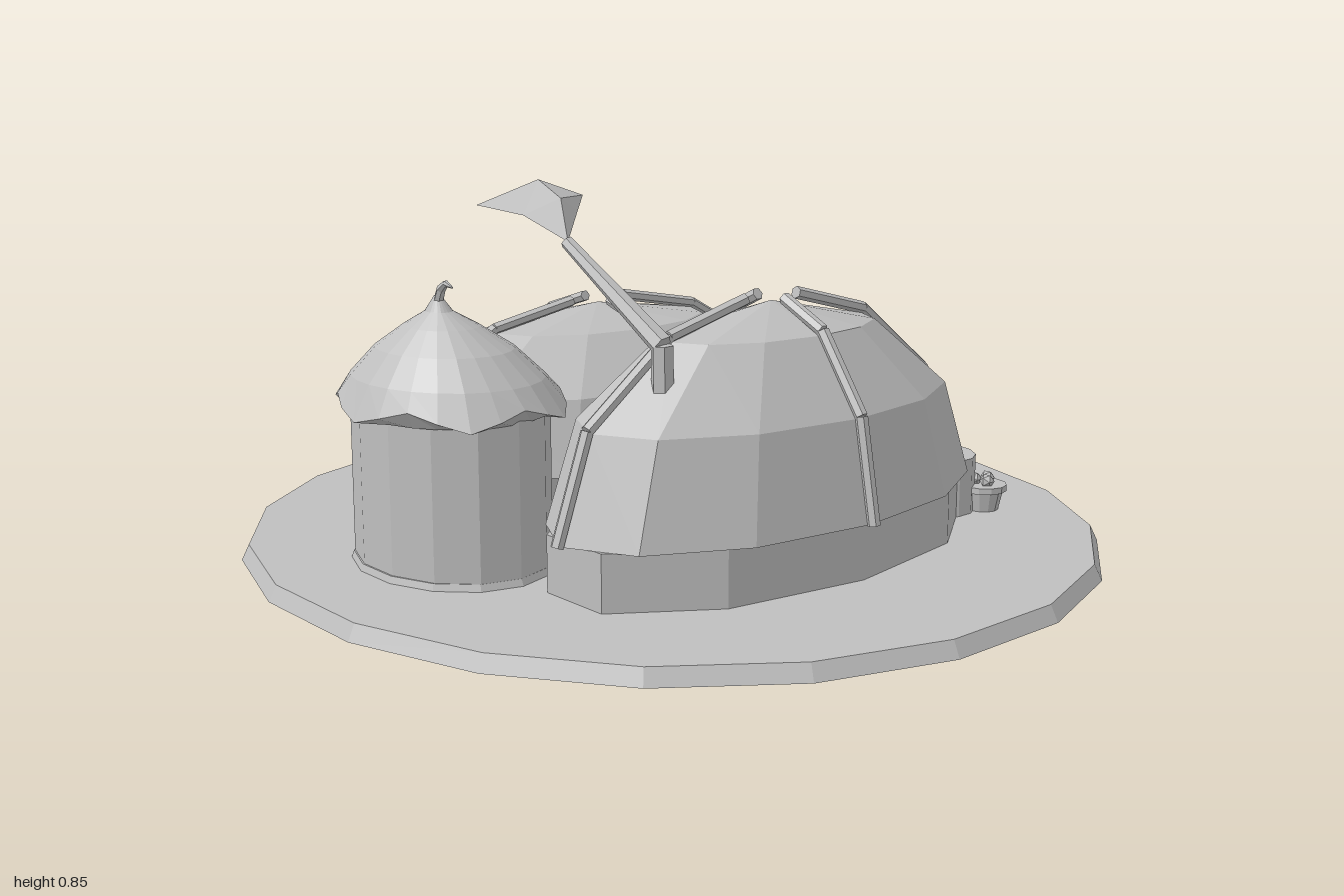
import * as THREE from 'three';

const stone = new THREE.MeshStandardMaterial({ color: 0xbfbfbf, flatShading: true, side: THREE.DoubleSide });
stone.name = 'pale grey';

export function createModel() {
  const model = new THREE.Group();
  model.name = 'domeVillage';

  function add(parent, name, geometry, x = 0, y = 0, z = 0) {
    const mesh = new THREE.Mesh(geometry, stone);
    mesh.name = name;
    mesh.position.set(x, y, z);
    parent.add(mesh);
    return mesh;
  }

  // elliptical drum standing between y0 and y1
  function drum(parent, name, x, z, rx, rz, y0, y1, sides, phase = 0, taper = 1) {
    const g = new THREE.CylinderGeometry(taper, 1, y1 - y0, sides, 1, false, phase);
    g.scale(rx, 1, rz);
    return add(parent, name, g, x, (y0 + y1) / 2, z);
  }

  // straight bar between two points
  function bar(parent, name, a, b, r0, r1 = r0) {
    const dir = b.clone().sub(a);
    const g = new THREE.CylinderGeometry(r1, r0, dir.length(), 6);
    const mesh = add(parent, name, g);
    mesh.position.copy(a).addScaledVector(dir, 0.5);
    mesh.quaternion.setFromUnitVectors(new THREE.Vector3(0, 1, 0), dir.normalize());
    return mesh;
  }

  // surface through rings of points, closed around
  function loft(rings) {
    const n = rings[0].length, pos = rings.flat(2), index = [];
    for (let i = 0; i < rings.length - 1; i++) {
      for (let j = 0; j < n; j++) {
        const a = i * n + j, b = i * n + (j + 1) % n;
        index.push(a, b, a + n, b, b + n, a + n);
      }
    }
    const g = new THREE.BufferGeometry();
    g.setAttribute('position', new THREE.Float32BufferAttribute(pos, 3));
    g.setIndex(index);
    g.computeVertexNormals();
    return g;
  }

  // ground disc
  const floor = 0.035;
  drum(model, 'ground', 0, 0, 1.012, 0.983, 0, floor, 20, Math.PI / 20, 0.983);

  // long halls: ten-sided wall, twelve-sided dome with ribs on its main edges, porch at the back
  const eave = 0.158;
  function hall(name, x, z, wallX, wallZ, domeX, domeZ, h, porchZ) {
    const hallGroup = new THREE.Group();
    hallGroup.name = name;
    hallGroup.position.set(x, 0, z);
    model.add(hallGroup);
    drum(hallGroup, 'wall', 0, 0, wallX, wallZ, 0.001, eave, 10, Math.PI / 10);

    const profile = [0, 30, 60, 90].map(d => {
      const t = THREE.MathUtils.degToRad(d);
      return new THREE.Vector2(Math.max(Math.cos(t), 0.0001), h * Math.sin(t));
    });
    const dome = new THREE.LatheGeometry(profile, 12);
    dome.scale(domeX, 1, domeZ);
    add(hallGroup, 'dome', dome, 0, eave, 0);

    for (const [dx, dz] of [[1, 0], [-1, 0], [0, 1], [0, -1]]) {
      const pts = [0, 30, 60, 82.5].map(d => {
        const t = THREE.MathUtils.degToRad(d), c = Math.cos(t);
        return new THREE.Vector3(
          dx * (domeX + 0.01) * c, eave + (h + 0.013) * Math.sin(t), dz * (domeZ + 0.008) * c);
      });
      for (let i = 0; i < 3; i++) bar(hallGroup, 'rib', pts[i], pts[i + 1], 0.014);
    }

    drum(hallGroup, 'porch', 0, porchZ - z, 0.115, 0.1, 0.001, 0.17, 14);
    add(hallGroup, 'door', new THREE.BoxGeometry(0.07, 0.1, 0.006), 0, 0.085, porchZ - z - 0.099);
  }
  hall('wideHall', -0.375, -0.085, 0.35, 0.625, 0.366, 0.63, 0.339, -0.69);
  hall('tallHall', 0.345, 0.015, 0.285, 0.575, 0.3, 0.58, 0.437, -0.53);

  // flower pots beside the porch
  for (const [x, z, flowers] of [[0.27, -0.62, 2], [0.445, -0.61, 3]]) {
    const pot = new THREE.Group();
    pot.name = 'flowerPot';
    pot.position.set(x, floor, z);
    model.add(pot);
    add(pot, 'pot', new THREE.LatheGeometry(
      [[0, 0], [0.038, 0], [0.048, 0.045], [0.057, 0.047], [0.057, 0.062], [0, 0.062]]
        .map(p => new THREE.Vector2(...p)), 12));
    for (let i = 0; i < flowers; i++) {
      const a = i * Math.PI * 2 / flowers + 0.4;
      add(pot, 'flower', new THREE.IcosahedronGeometry(0.018, 0), 0.02 * Math.cos(a), 0.072, 0.02 * Math.sin(a));
    }
  }

  // round hut
  const hut = new THREE.Group();
  hut.name = 'roundHut';
  hut.position.set(-0.062, 0, 0.575);
  model.add(hut);
  drum(hut, 'wall', 0, 0, 0.249, 0.195, 0.001, 0.39, 14, Math.PI / 14);
  drum(hut, 'foot', 0, 0, 0.257, 0.205, 0.03, 0.05, 14, Math.PI / 14, 0.97);

  // broad scalloped roof with an upturned underside, leaning towards its peak
  const n = 24;
  const roofRings = [[0.84, 0.375], [1, 0.392], [0.84, 0.45], [0.6, 0.512], [0.33, 0.56], [0.12, 0.592], [0.03, 0.625]]
    .map(([r, y], level) => {
      const lean = 1 - r;
      return Array.from({ length: n }, (_, j) => {
        const a = j * Math.PI * 2 / n;
        const wave = level === 1 ? Math.cos(a * 6) : 0;
        const rr = r * (1 + 0.03 * wave);
        return [0.28 * rr * Math.sin(a) + 0.045 * lean, y - 0.018 * wave, 0.23 * rr * Math.cos(a) + 0.055 * lean];
      });
    });
  add(hut, 'roof', loft(roofRings));

  // curled tip on the roof
  const curl = [[0.044, 0.61, 0.053], [0.06, 0.64, 0.055], [0.085, 0.655, 0.06], [0.115, 0.65, 0.064]]
    .map(p => new THREE.Vector3(...p));
  [0.011, 0.01, 0.007].forEach((r, i) => bar(hut, 'roofTip', curl[i], curl[i + 1], r, [0.01, 0.007, 0.002][i]));

  // bent stalk rising from the ground through the tall hall
  const stalk = [[0.4, 0.001, 0.365], [0.395, 0.545, 0.37], [0.145, 0.735, 0.415]].map(p => new THREE.Vector3(...p));
  bar(model, 'stalkFoot', stalk[0], stalk[1], 0.025, 0.024);
  bar(model, 'stalk', stalk[1], stalk[2], 0.024, 0.014);

  // drooping leaf: rim around a raised ridge
  const rim = [[0.15, 0.735, 0.415], [0.05, 0.785, 0.31], [-0.02, 0.81, 0.24], [-0.18, 0.775, 0.345],
    [-0.07, 0.8, 0.49], [0.05, 0.785, 0.455]];
  const ridge = [[0.15, 0.735, 0.415], [0.075, 0.818, 0.375], [-0.03, 0.85, 0.355], [-0.03, 0.85, 0.355],
    [-0.03, 0.85, 0.355], [0.075, 0.818, 0.375]];
  add(model, 'leaf', loft([rim, ridge]));

  return model;
}
